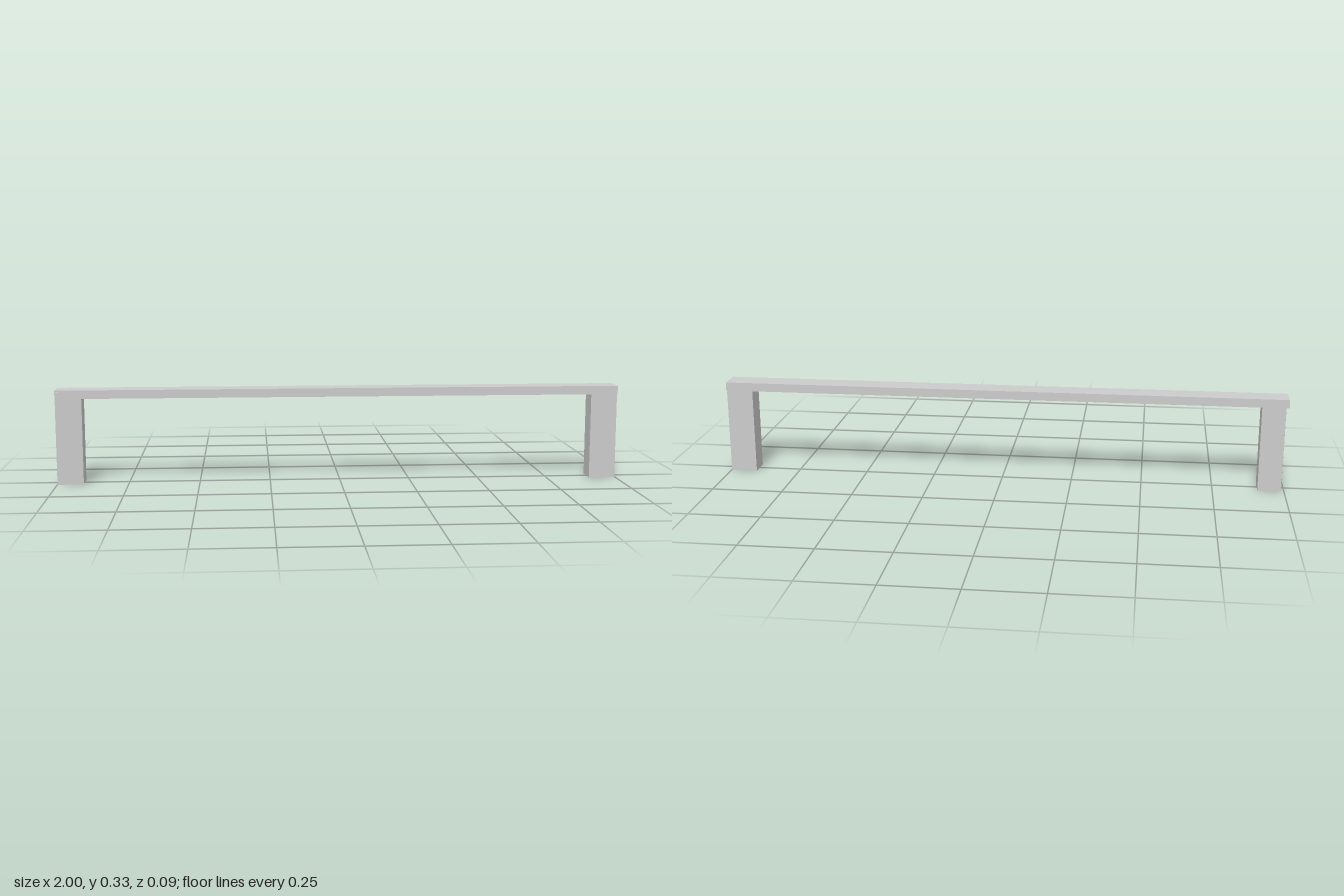
import * as THREE from 'three';

const material = new THREE.MeshStandardMaterial({ color: 0xcccccc, flatShading: true });

// Upright prism standing on y = 0, from a footprint of [x, z] corners
function makePost(name, footprint, height) {
  const shape = new THREE.Shape(footprint.map(([x, z]) => new THREE.Vector2(x, -z)));
  const geometry = new THREE.ExtrudeGeometry(shape, { depth: height, bevelEnabled: false });
  geometry.rotateX(-Math.PI / 2);
  const mesh = new THREE.Mesh(geometry, material);
  mesh.name = name;
  return mesh;
}

export function createModel() {
  const group = new THREE.Group();
  group.name = 'barrierFrame';

  // Long top rail
  const rail = new THREE.Mesh(new THREE.BoxGeometry(2, 0.03, 0.083), material);
  rail.name = 'topRail';
  rail.position.set(0, 0.319, -0.0005);
  group.add(rail);

  // End posts; the right one flares slightly at its outer front corner
  group.add(makePost('leftPost',
    [[0.905, 0.037], [0.999, 0.037], [0.999, -0.037], [0.905, -0.037]], 0.327));
  group.add(makePost('rightPost',
    [[-0.999, 0.044], [-0.908, 0.037], [-0.908, -0.037], [-0.99, -0.037]], 0.327));

  return group;
}
